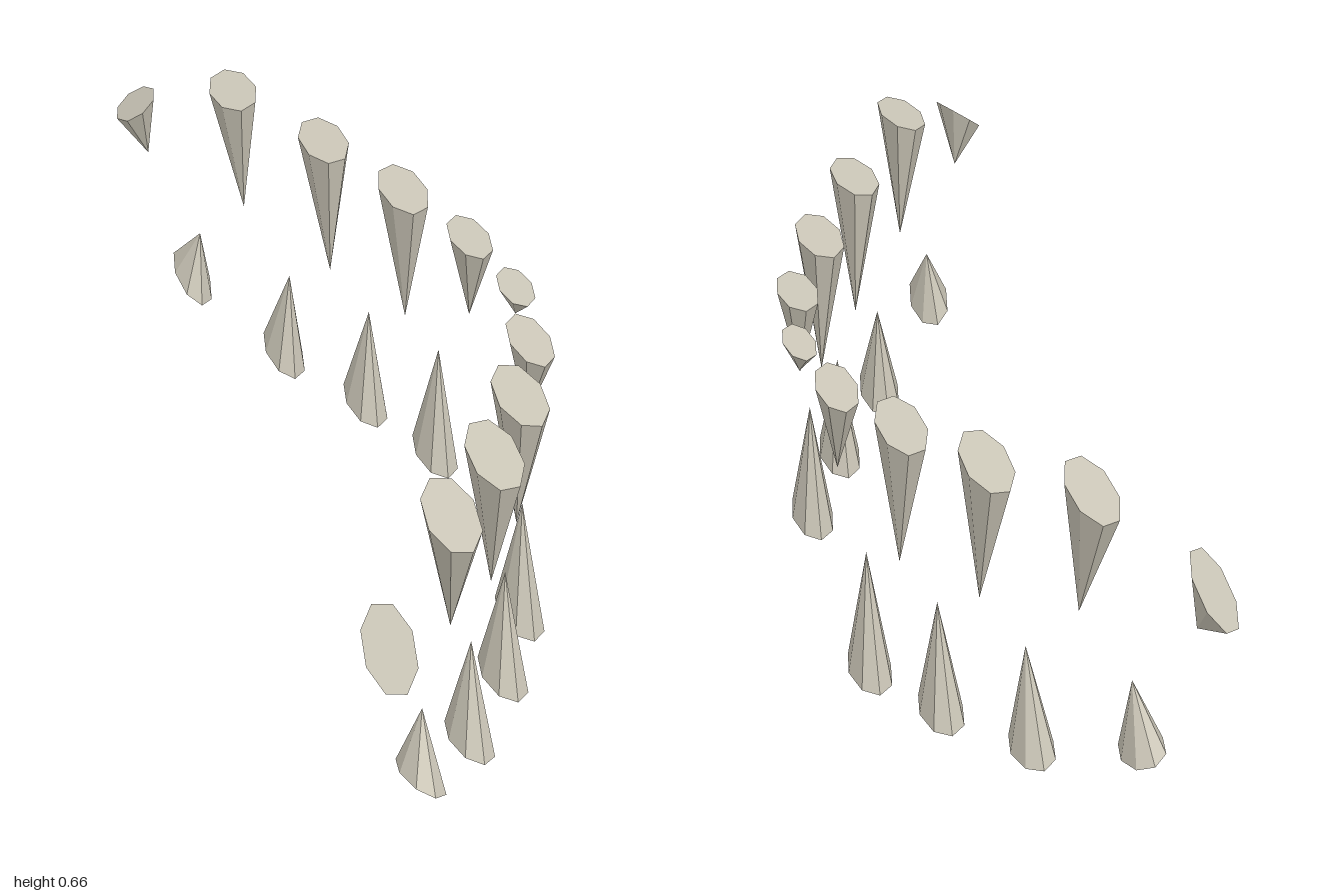
import * as THREE from 'three';

// The jaw is narrow along x: round cones are placed in a frame that is then squeezed
const SQUEEZE = 0.455;

// [base centre], [tip], radius; teeth off the centre line are mirrored in z
const UPPER = [
  [[0.265, 0.577, 0], [0.266, 0.516, 0], 0.07],
  [[0.232, 0.582, 0.182], [0.232, 0.405, 0.176], 0.086],
  [[0.152, 0.597, 0.361], [0.155, 0.3, 0.353], 0.1],
  [[0.042, 0.62, 0.546], [0.048, 0.32, 0.527], 0.101],
  [[-0.096, 0.655, 0.73], [-0.086, 0.39, 0.704], 0.1],
  [[-0.26, 0.547, 0.912], [-0.245, 0.447, 0.877], 0.093],
];
const LOWER = [
  [[0.196, 0.006, 0.272], [0.198, 0.268, 0.263], 0.09],
  [[0.101, 0.027, 0.455], [0.105, 0.261, 0.441], 0.09],
  [[-0.024, 0.055, 0.638], [-0.016, 0.263, 0.612], 0.088],
  [[-0.174, 0.16, 0.82], [-0.162, 0.287, 0.786], 0.086],
];

export function createModel() {
  const model = new THREE.Group();
  model.name = 'teeth';
  const ivory = new THREE.MeshStandardMaterial({ color: 0xcfcabb, flatShading: true });
  ivory.name = 'ivory';

  // Eight-sided cone from its base centre to its tip
  const addTooth = (row, name, base, tip, radius, side) => {
    const place = ([x, y, z]) => new THREE.Vector3(x / SQUEEZE, y, z * side);
    const a = place(base);
    const axis = place(tip).sub(a);
    const height = axis.length();
    const geometry = new THREE.ConeGeometry(radius, height, 8);
    geometry.translate(0, height / 2, 0);
    const tooth = new THREE.Mesh(geometry, ivory);
    tooth.name = name;
    tooth.position.copy(a);
    tooth.quaternion.setFromUnitVectors(new THREE.Vector3(0, 1, 0), axis.normalize());
    row.add(tooth);
  };

  for (const [name, teeth] of [['upper', UPPER], ['lower', LOWER]]) {
    const row = new THREE.Group();
    row.name = name + 'Row';
    row.scale.x = SQUEEZE;
    teeth.forEach(([base, tip, radius], i) => {
      for (const side of base[2] ? [1, -1] : [1]) {
        addTooth(row, `${name}Tooth${i}${side > 0 ? 'Front' : 'Back'}`, base, tip, radius, side);
      }
    });
    model.add(row);
  }
  return model;
}
